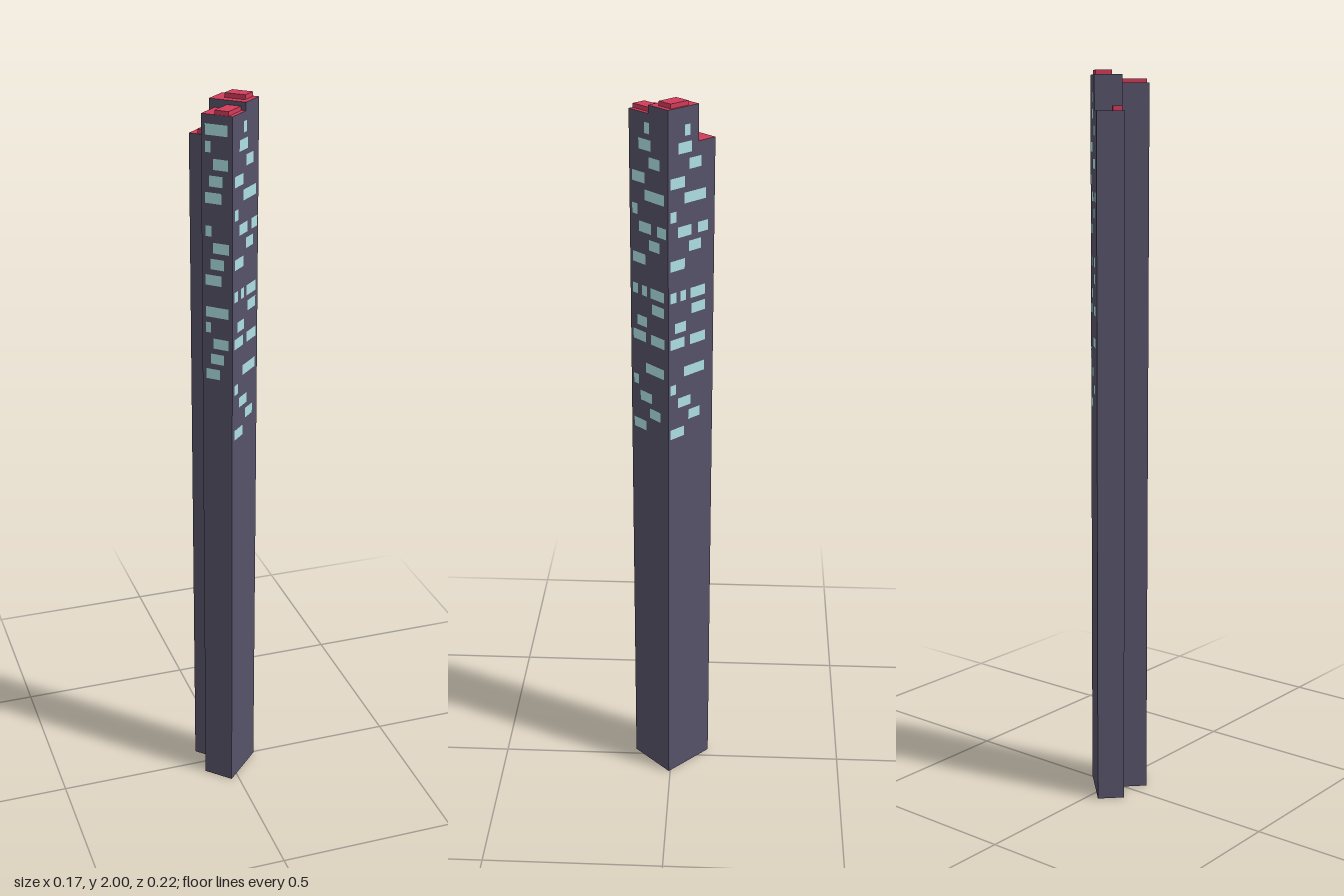
import * as THREE from 'three';
import { mergeGeometries } from 'three/addons/utils/BufferGeometryUtils.js';

const mat = (name, color) => {
  const m = new THREE.MeshStandardMaterial({ color });
  m.name = name;
  return m;
};

export function createModel() {
  const wall = mat('slate wall', 0x57526a);
  const roof = mat('crimson roof', 0xd13c5a);
  const glass = mat('pale cyan window', 0xaee0e4);

  const model = new THREE.Group();
  model.name = 'tower';

  // The L-shaped plan is laid out on its own axes, then turned 45 degrees
  const plan = new THREE.Group();
  plan.name = 'towerPlan';
  plan.position.set(-0.031, 0, -0.109);
  plan.rotation.y = -Math.PI / 4;
  model.add(plan);

  const box = (name, x0, x1, z0, z1, y0, y1, material) => {
    const geo = new THREE.BoxGeometry(x1 - x0, y1 - y0, z1 - z0);
    const mesh = new THREE.Mesh(geo, material);
    mesh.name = name;
    mesh.position.set((x0 + x1) / 2, (y0 + y1) / 2, (z0 + z1) / 2);
    plan.add(mesh);
  };

  // Three blocks of different height, dark walls with a red top face
  const block = [wall, wall, roof, wall, wall, wall];
  box('lowBlock', 0, 0.057, 0, 0.074, 0, 1.895, block);
  box('mainBlock', 0.057, 0.16, 0, 0.074, 0, 1.988, block);
  box('frontBlock', 0.073, 0.16, 0.074, 0.147, 0, 1.967, block);

  // Rooftop housings
  box('lowRoofHousing', 0.022, 0.048, 0.045, 0.07, 1.895, 1.907, roof);
  box('mainRoofHousing', 0.088, 0.146, 0.006, 0.05, 1.988, 2.0, roof);
  box('frontRoofHousing', 0.109, 0.148, 0.078, 0.145, 1.967, 1.978, roof);

  // Windows as [row, start, end], measured from the wall's left edge
  const wideWindows = [
    [0, 0.059, 0.078], [1, 0.037, 0.083], [2, 0.075, 0.116], [3, 0.011, 0.06],
    [4, 0.059, 0.132], [5, 0.011, 0.031], [6, 0.037, 0.083], [6, 0.106, 0.14],
    [7, 0.075, 0.116], [8, 0.011, 0.06], [10, 0.011, 0.031], [10, 0.046, 0.065],
    [10, 0.08, 0.132], [11, 0.085, 0.132], [12, 0.027, 0.065], [13, 0.011, 0.06],
    [13, 0.08, 0.134], [15, 0.059, 0.132], [16, 0.011, 0.031], [17, 0.037, 0.083],
    [18, 0.075, 0.116], [19, 0.011, 0.06],
  ];
  const narrowWindows = [
    [0, 0.011, 0.073], [1, 0.011, 0.026], [2, 0.033, 0.075], [3, 0.022, 0.06],
    [4, 0.011, 0.056], [6, 0.011, 0.028], [7, 0.033, 0.077], [8, 0.025, 0.063],
    [9, 0.011, 0.056], [11, 0.011, 0.077], [12, 0.011, 0.026], [13, 0.033, 0.077],
    [14, 0.025, 0.063], [15, 0.011, 0.052],
  ];

  const addWindows = (name, list, x, z, turn, shift = 0) => {
    const panes = list.map(([row, a, b]) =>
      new THREE.PlaneGeometry(b - a, 0.028)
        .translate((a + b) / 2 + shift, 1.93 - row * 0.043, 0.001));
    const mesh = new THREE.Mesh(mergeGeometries(panes), glass);
    mesh.name = name;
    mesh.position.set(x, 0, z);
    mesh.rotation.y = turn;
    plan.add(mesh);
  };
  addWindows('frontWallWindows', wideWindows, 0.16, 0.147, Math.PI / 2);
  addWindows('backWallWindows', wideWindows, 0.16, 0, Math.PI, -0.004);
  addWindows('endWallWindows', narrowWindows, 0.073, 0.147, 0);

  return model;
}
